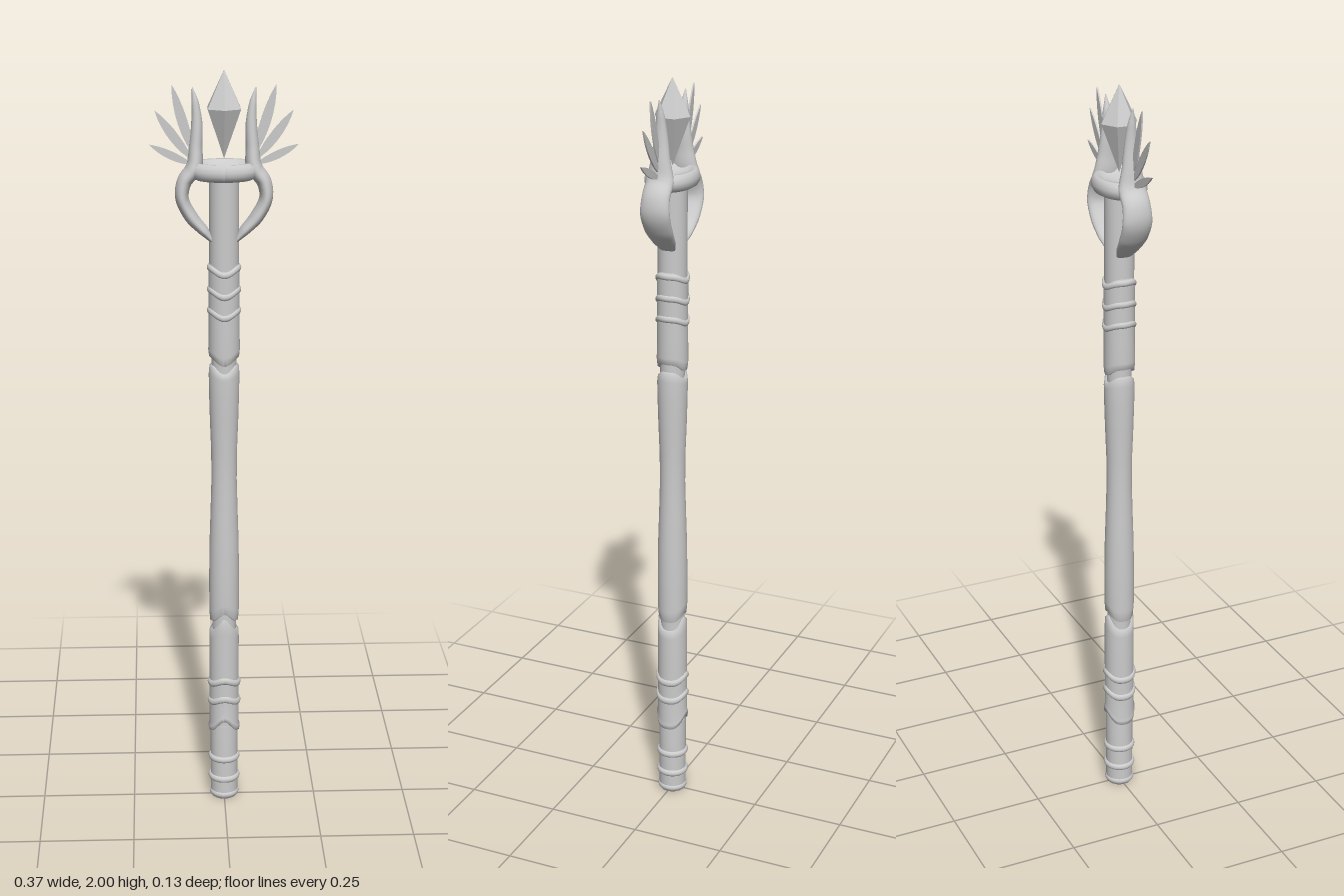
import * as THREE from 'three';

const material = new THREE.MeshStandardMaterial({ color: 0xcccccc, side: THREE.DoubleSide });
const crystalMaterial = new THREE.MeshStandardMaterial({ color: 0xcccccc, flatShading: true });

function add(parent, name, geometry, mat = material) {
  const mesh = new THREE.Mesh(geometry, mat);
  mesh.name = name;
  parent.add(mesh);
  return mesh;
}

// Turned part; each profile point is [radius, y, wave], wave lifts the front and back of the edge
function turned(profile, segments = 40) {
  const geo = new THREE.LatheGeometry(profile.map(([r, y]) => new THREE.Vector2(r, y)), segments);
  const pos = geo.attributes.position;
  for (let i = 0; i < pos.count; i++) {
    const [r, , wave = 0] = profile[i % profile.length];
    const front = r > 0 ? Math.pow(pos.getZ(i) / r, 4) : 0;
    pos.setY(i, pos.getY(i) + wave * front);
  }
  geo.computeVertexNormals();
  return geo;
}

// Rounded ring around the shaft
function ring(y, r, half, wave = 0) {
  const profile = [];
  for (let i = 0; i <= 8; i++) {
    const a = -Math.PI / 2 + (i / 8) * Math.PI;
    profile.push([r - 0.007 + 0.007 * Math.cos(a), y + half * Math.sin(a), wave]);
  }
  return turned(profile);
}

// Tapered horn: elliptical cross-sections swept along a curve in the xy plane
function hornGeometry() {
  // centre x, centre y, half thickness, half depth in z
  const keys = [
    [0.028, 1.57, 0.006, 0.02], [0.052, 1.597, 0.013, 0.032], [0.083, 1.632, 0.017, 0.038],
    [0.106, 1.68, 0.017, 0.04], [0.1, 1.722, 0.019, 0.037], [0.076, 1.757, 0.021, 0.037],
    [0.071, 1.81, 0.017, 0.025], [0.068, 1.87, 0.014, 0.017], [0.072, 1.92, 0.009, 0.01],
    [0.079, 1.957, 0.001, 0.001],
  ];
  const path = new THREE.CatmullRomCurve3(keys.map(k => new THREE.Vector3(k[0], k[1], 0)));
  const rows = 54, sides = 20, positions = [], index = [];
  for (let i = 0; i <= rows; i++) {
    const t = i / rows, p = path.getPoint(t), d = path.getTangent(t);
    const f = t * (keys.length - 1), k = Math.min(Math.floor(f), keys.length - 2);
    const a = THREE.MathUtils.lerp(keys[k][2], keys[k + 1][2], f - k);
    const b = THREE.MathUtils.lerp(keys[k][3], keys[k + 1][3], f - k);
    for (let j = 0; j < sides; j++) {
      const u = (j / sides) * Math.PI * 2, c = a * Math.cos(u);
      positions.push(p.x + d.y * c, p.y - d.x * c, b * Math.sin(u));
      if (i < rows) {
        const n = (j + 1) % sides, q = i * sides + j, r = i * sides + n;
        index.push(q, q + sides, r, r, q + sides, r + sides);
      }
    }
  }
  const geo = new THREE.BufferGeometry();
  geo.setAttribute('position', new THREE.Float32BufferAttribute(positions, 3));
  geo.setIndex(index);
  geo.computeVertexNormals();
  return geo;
}

// Thin curved blade from base to tip
function featherGeometry([bx, by], [tx, ty], width) {
  const dx = tx - bx, dy = ty - by, len = Math.hypot(dx, dy);
  const nx = -dy / len, ny = dx / len;
  const at = (t, s) => [bx + dx * t + nx * s, by + dy * t + ny * s];
  const shape = new THREE.Shape();
  shape.moveTo(...at(0, 0));
  shape.bezierCurveTo(...at(0.25, -width * 1.1), ...at(0.7, -width * 1.1), ...at(1, 0));
  shape.bezierCurveTo(...at(0.75, width * 0.6), ...at(0.4, width * 0.8), ...at(0, 0));
  const geo = new THREE.ExtrudeGeometry(shape, { depth: 0.004, bevelEnabled: false, curveSegments: 8 });
  geo.translate(0, 0, -0.002);
  return geo;
}

export function createModel() {
  const staff = new THREE.Group();
  staff.name = 'staff';

  // Inner shaft, seen in the gaps and below the head
  add(staff, 'core', new THREE.CylinderGeometry(0.032, 0.032, 1.45, 32).translate(0, 0.825, 0));
  add(staff, 'upperShaft', new THREE.CylinderGeometry(0.038, 0.038, 0.28, 32).translate(0, 1.61, 0));

  // Foot with its rings
  add(staff, 'foot', turned([[0, 0], [0.034, 0], [0.037, 0.006], [0.037, 0.22], [0.03, 0.22]]));
  for (const y of [0.012, 0.06, 0.12]) add(staff, 'footRing', ring(y, y < 0.02 ? 0.04 : 0.043, 0.009));

  // Lower sleeve with raised edges
  add(staff, 'lowerSleeve', turned([
    [0.034, 0.2, 0.035], [0.042, 0.203, 0.035], [0.043, 0.215, 0.035], [0.04, 0.225, 0.035],
    [0.04, 0.3, 0.01], [0.04, 0.4], [0.04, 0.48, 0.02], [0.039, 0.5, 0.035], [0.031, 0.503, 0.035],
  ]));
  for (const y of [0.29, 0.345]) add(staff, 'lowerSleeveRing', ring(y, 0.045, 0.01, 0.015));

  // Waisted grip
  add(staff, 'grip', turned([
    [0.031, 0.527, 0.025], [0.038, 0.53, 0.025], [0.04, 0.56, 0.02], [0.04, 0.66], [0.039, 0.75],
    [0.036, 0.84], [0.0335, 0.93], [0.034, 1.01], [0.037, 1.09], [0.039, 1.16], [0.04, 1.22, -0.01],
    [0.038, 1.243, -0.02], [0.031, 1.246, -0.02],
  ]));

  // Upper sleeve
  add(staff, 'upperSleeve', turned([
    [0.031, 1.265, -0.02], [0.039, 1.268, -0.02], [0.041, 1.285, -0.015], [0.04, 1.34],
    [0.04, 1.49, -0.015], [0.042, 1.505, -0.02], [0.037, 1.515, -0.02],
  ]));
  for (const y of [1.39, 1.445, 1.502]) add(staff, 'upperSleeveRing', ring(y, 0.044, 0.009, -0.015));

  // Oval collar that joins the horns
  const collar = add(staff, 'collar', turned([
    [0, 1.727], [0.05, 1.727], [0.059, 1.732], [0.064, 1.742], [0.065, 1.752], [0.062, 1.764],
    [0.055, 1.771], [0.045, 1.77], [0.036, 1.76], [0, 1.755],
  ], 48));
  collar.scale.x = 1.4;

  // Horns and feathers, the second side turned half round
  const feathers = [
    [[0.073, 1.785], [0.13, 1.963], 0.019],
    [[0.077, 1.775], [0.173, 1.9], 0.018],
    [[0.077, 1.765], [0.187, 1.815], 0.015],
  ];
  for (const side of ['left', 'right']) {
    const half = new THREE.Group();
    half.name = side + 'Half';
    if (side === 'right') half.rotation.y = Math.PI;
    add(half, side + 'Horn', hornGeometry());
    for (const f of feathers) add(half, side + 'Feather', featherGeometry(...f));
    staff.add(half);
  }

  // Six-sided crystal floating above the collar
  const crystal = new THREE.Group();
  crystal.name = 'crystal';
  add(crystal, 'crystalTop', new THREE.ConeGeometry(0.048, 0.095, 6, 1, true).translate(0, 1.9525, 0), crystalMaterial);
  add(crystal, 'crystalBottom', new THREE.CylinderGeometry(0.048, 0, 0.125, 6, 1, true).translate(0, 1.8425, 0), crystalMaterial);
  staff.add(crystal);

  return staff;
}
